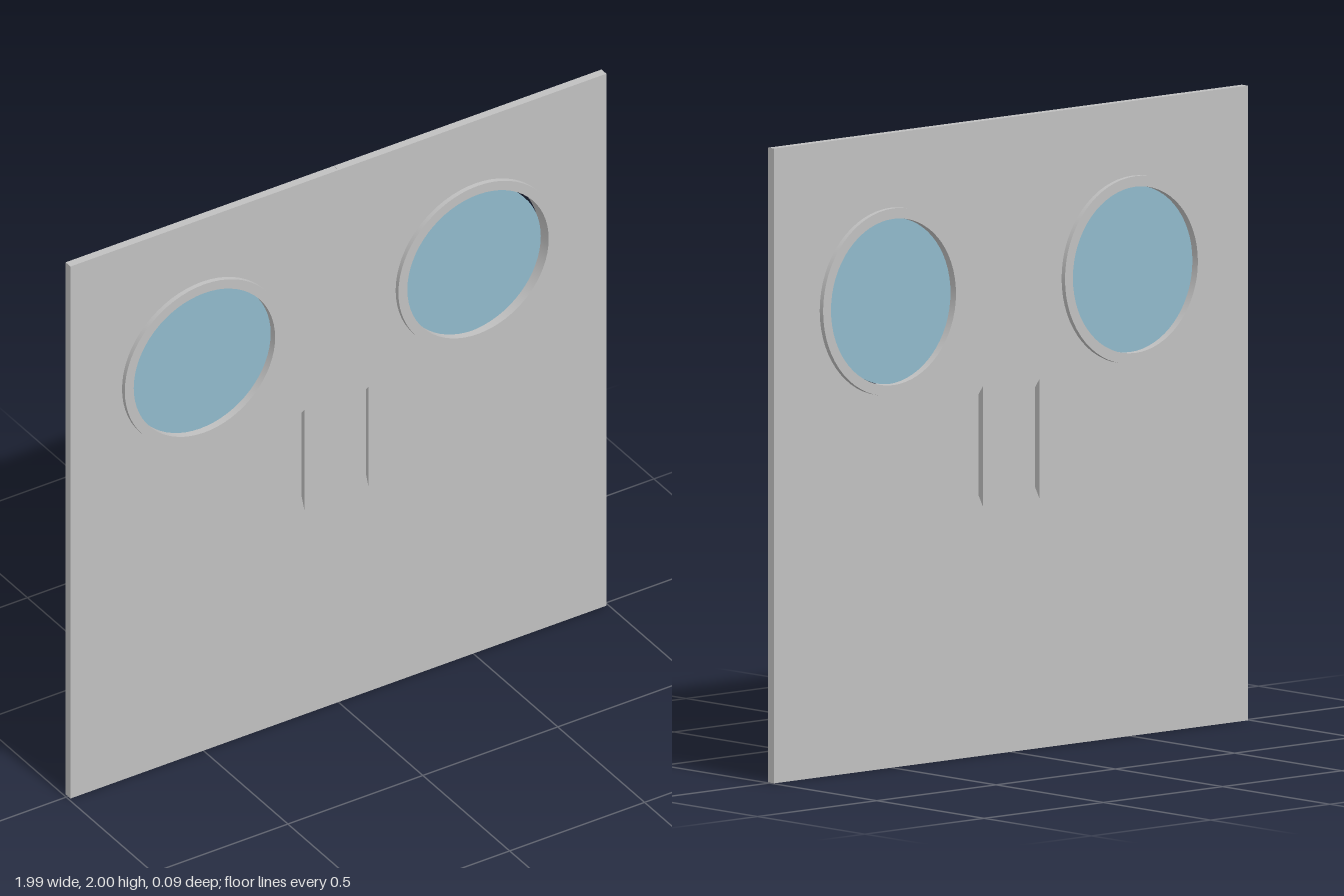
import * as THREE from 'three';
import { toCreasedNormals } from 'three/addons/utils/BufferGeometryUtils.js';

const DOOR_W = 0.993, DOOR_H = 2, DOOR_D = 0.028;
const WINDOW_X = 0.507, WINDOW_Y = 1.47, RING_OUT = 0.295, RING_IN = 0.262;

// Extrude a shape so that it is centred on z = 0, with smooth round walls
function slab(shape, depth) {
  const geo = new THREE.ExtrudeGeometry(shape, { depth, bevelEnabled: false, curveSegments: 32 });
  geo.translate(0, 0, -depth / 2);
  return toCreasedNormals(geo, 0.6);
}

function circle(Kind, x, y, r) {
  const c = new Kind();
  c.absarc(x, y, r, 0, Math.PI * 2, false);
  return c;
}

// Bar that narrows toward the door on both its sides and its ends
function handleGeometry(width, height, depth) {
  const geo = new THREE.BoxGeometry(width, height, depth);
  const p = geo.attributes.position;
  for (let i = 0; i < p.count; i++) {
    if (p.getZ(i) < 0) {
      p.setX(i, p.getX(i) - Math.sign(p.getX(i)) * 0.01);
      p.setY(i, p.getY(i) - Math.sign(p.getY(i)) * 0.032);
    }
  }
  geo.computeVertexNormals();
  return geo;
}

export function createModel() {
  const model = new THREE.Group();
  model.name = 'doubleDoor';
  const metal = new THREE.MeshStandardMaterial({ color: 0xc0c0c0 });
  metal.name = 'grey metal';
  const glass = new THREE.MeshStandardMaterial({ color: 0x90b9ca });
  glass.name = 'blue glass';

  const add = (parent, name, geo, mat, x = 0, y = 0, z = 0) => {
    const mesh = new THREE.Mesh(geo, mat);
    mesh.name = name;
    mesh.position.set(x, y, z);
    parent.add(mesh);
    return mesh;
  };

  // Window frame ring and thin pane, shared by both doors
  const ringShape = circle(THREE.Shape, 0, 0, RING_OUT);
  ringShape.holes.push(circle(THREE.Path, 0, 0, RING_IN));
  const ringGeo = slab(ringShape, 0.06);
  const paneGeo = new THREE.CylinderGeometry(RING_IN, RING_IN, 0.009, 64).rotateX(Math.PI / 2);
  const handleGeo = handleGeometry(0.055, 0.38, 0.032);

  for (const side of [-1, 1]) {
    const door = new THREE.Group();
    door.name = side > 0 ? 'leftDoor' : 'rightDoor';
    model.add(door);

    // Door leaf with its round opening
    const a = side > 0 ? 0.0005 : -DOOR_W, b = side > 0 ? DOOR_W : -0.0005;
    const leaf = new THREE.Shape();
    leaf.moveTo(a, 0).lineTo(b, 0).lineTo(b, DOOR_H).lineTo(a, DOOR_H).closePath();
    leaf.holes.push(circle(THREE.Path, side * WINDOW_X, WINDOW_Y, 0.28));
    add(door, 'leaf', slab(leaf, DOOR_D), metal);

    // Porthole; the left pane sits slightly off centre
    add(door, 'windowFrame', ringGeo, metal, side * WINDOW_X, WINDOW_Y);
    add(door, 'windowPane', paneGeo, glass, side * WINDOW_X - (side > 0 ? 0.013 : 0), WINDOW_Y);

    // Handles on both faces
    for (const face of [1, -1]) {
      const handle = add(door, face > 0 ? 'frontHandle' : 'backHandle', handleGeo, metal,
        side * 0.119, 0.981, face * 0.03);
      if (face < 0) handle.rotation.y = Math.PI;
    }
  }
  return model;
}
